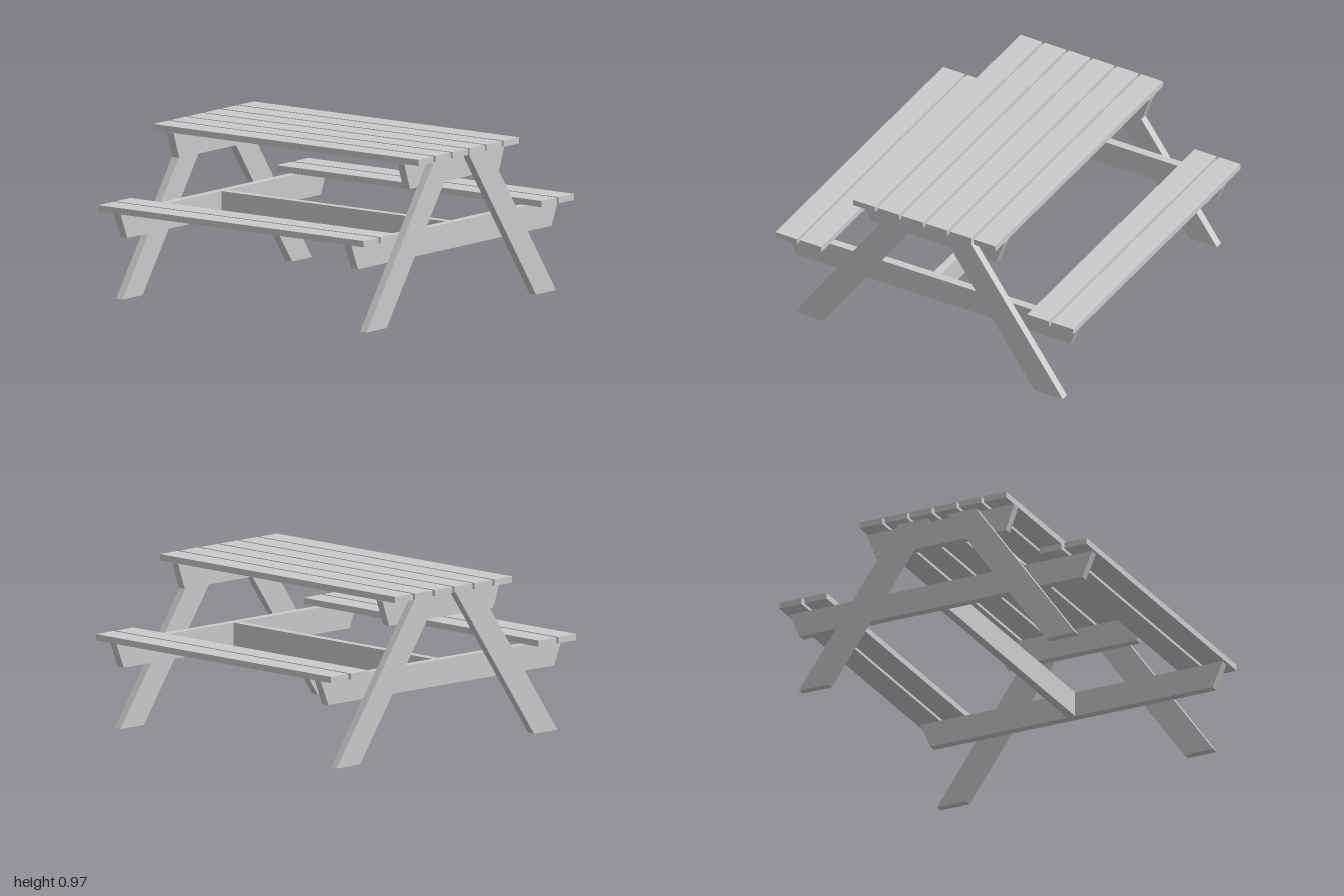
import * as THREE from 'three';

const material = new THREE.MeshStandardMaterial({ color: 0xcccccc, flatShading: true });

function add(group, name, geometry, x = 0, y = 0, z = 0) {
  const mesh = new THREE.Mesh(geometry, material);
  mesh.name = name;
  mesh.position.set(x, y, z);
  group.add(mesh);
}

// Board cut from a side outline of [z, y] points, spanning x0..x1
function sideBoard(points, x0, x1) {
  const shape = new THREE.Shape(points.map(([z, y]) => new THREE.Vector2(-z, y)));
  const geometry = new THREE.ExtrudeGeometry(shape, { depth: x1 - x0, bevelEnabled: false });
  return geometry.rotateY(Math.PI / 2).translate(x0, 0, 0);
}

// Symmetric beam that narrows towards its bottom edge
const beamOutline = (top, bottom, y0, y1) => [[-bottom, y0], [bottom, y0], [top, y1], [-top, y1]];

export function createModel() {
  const table = new THREE.Group();
  table.name = 'picnicTable';

  // Planks of the table top and the two benches
  const plank = new THREE.BoxGeometry(1.955, 0.037, 0.145);
  for (const s of [-1, 1]) {
    for (const z of [0.081, 0.243, 0.405]) add(table, 'tablePlank', plank, 0, 0.95, s * z);
    for (const z of [0.765, 0.9275]) add(table, 'benchPlank', plank, 0, 0.543, s * z);
  }

  // End frames: beams on the inside, splayed legs on the outside
  const inner = 0.825, middle = 0.875, outer = 0.923;
  for (const s of [-1, 1]) {
    const span = (a, b) => (s > 0 ? [a, b] : [-b, -a]);
    add(table, 'topBeam', sideBoard(beamOutline(0.48, 0.425, 0.777, 0.932), ...span(inner, middle)));
    add(table, 'benchBeam', sideBoard(beamOutline(0.985, 0.92, 0.372, 0.525), ...span(inner, middle)));
    for (const side of [-1, 1]) {
      const leg = [[0.9, 0], [0.71, 0], [0.06, 0.932], [0.252, 0.932]].map(([z, y]) => [z * side, y]);
      add(table, 'leg', sideBoard(leg, ...span(middle, outer)));
    }
  }

  // Stretcher joining the bench beams
  add(table, 'stretcher', new THREE.BoxGeometry(2 * inner, 0.153, 0.05), 0, 0.4485, 0);

  return table;
}
